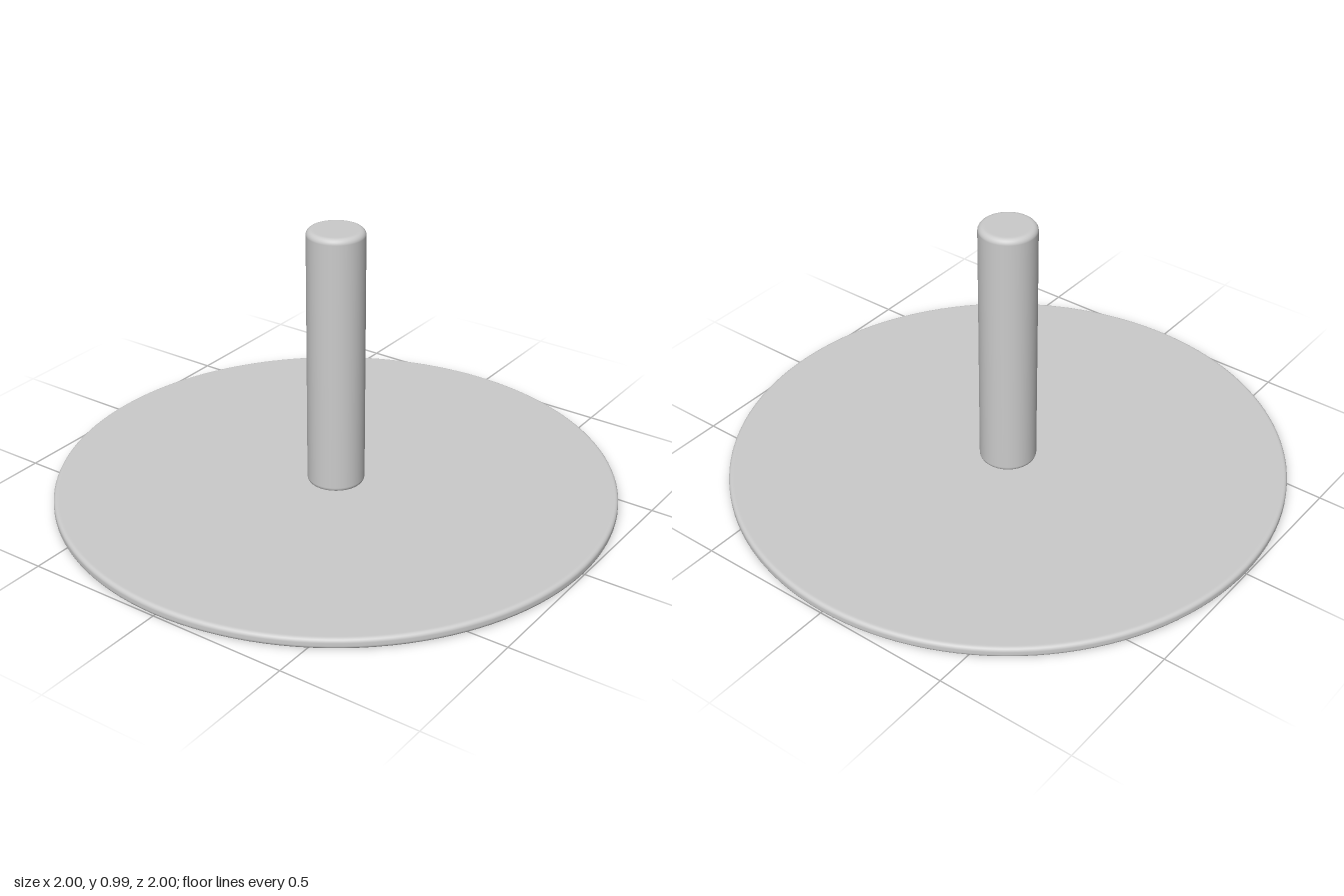
import * as THREE from 'three';

const material = new THREE.MeshStandardMaterial({ color: 0xcccccc });

// Solid disc or post with rounded rims, turned around the y axis
function roundedCylinder(name, radius, bottom, top, bevel, sides) {
  const steps = 6;
  const points = [new THREE.Vector2(0, bottom), new THREE.Vector2(radius - bevel * 1.3, bottom)];
  const addRim = (centreY, startAngle) => {
    for (let i = 0; i <= steps; i++) {
      const a = startAngle + (i / steps) * Math.PI / 2;
      points.push(new THREE.Vector2(radius - bevel + bevel * Math.cos(a), centreY + bevel * Math.sin(a)));
    }
  };
  addRim(bottom + bevel, -Math.PI / 2);
  addRim(top - bevel, 0);
  points.push(new THREE.Vector2(radius - bevel * 1.3, top), new THREE.Vector2(0, top));
  const mesh = new THREE.Mesh(new THREE.LatheGeometry(points, sides), material);
  mesh.name = name;
  return mesh;
}

export function createModel() {
  const model = new THREE.Group();
  model.name = 'discWithPost';

  // Thin round base plate
  model.add(roundedCylinder('basePlate', 1, 0, 0.038, 0.014, 128));

  // Upright post, its softened foot resting on the plate
  model.add(roundedCylinder('post', 0.102, 0.03, 0.988, 0.02, 64));

  return model;
}
